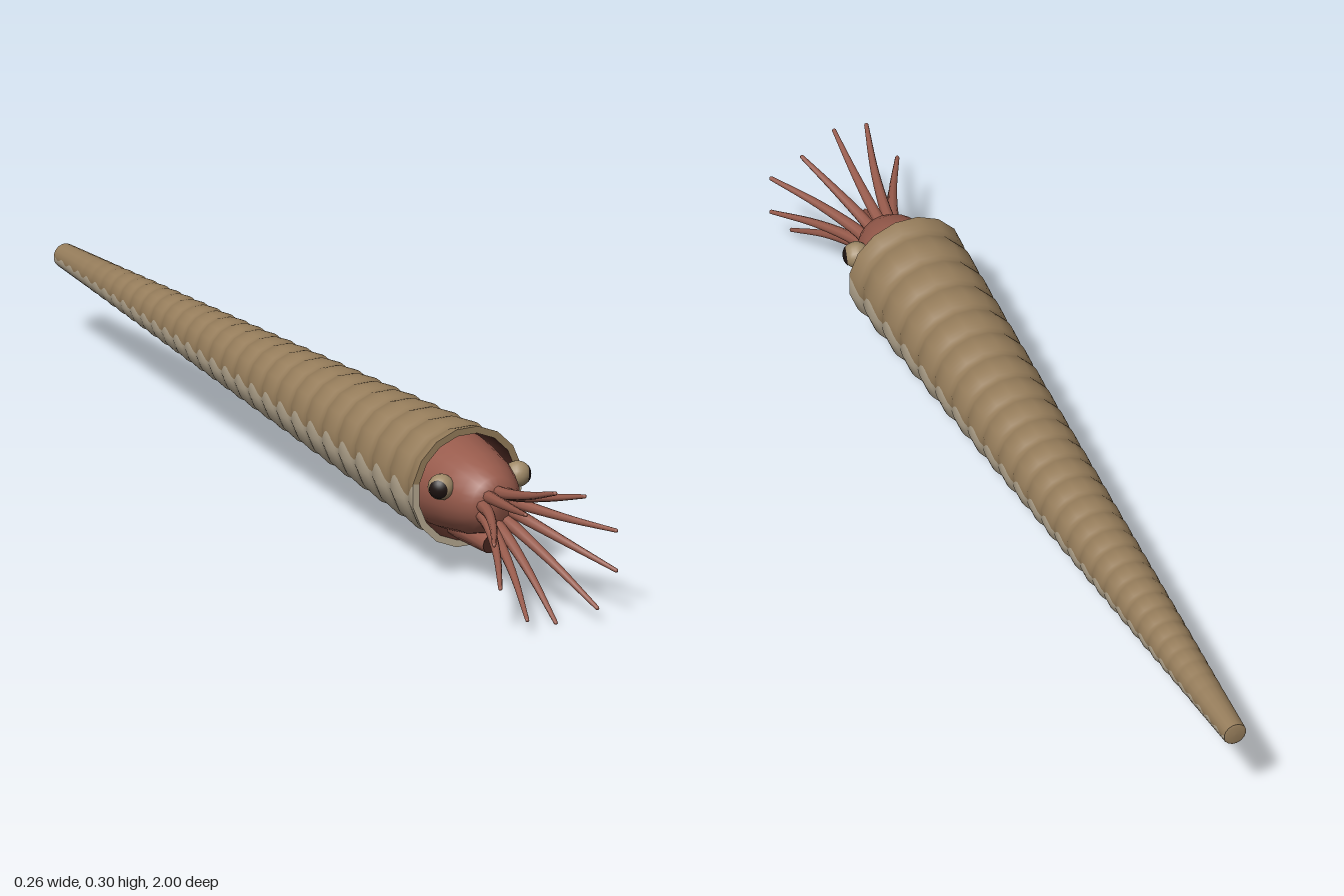
import * as THREE from 'three';

const AXIS_Y = 0.18, BACK = -1, FRONT = 0.615, STEP = Math.PI / 16;
const RIBS = 29;

const mat = (name, color, side = THREE.FrontSide) => {
  const m = new THREE.MeshStandardMaterial({ color, side });
  m.name = name;
  return m;
};

// Rib phase grows faster towards the narrow end, so ribs shrink with the cone
const ribPhase = (t) => RIBS * Math.log(1 + 1.43 * t) / Math.log(2.43);
const ribT = (phase) => (Math.exp(phase / RIBS * Math.log(2.43)) - 1) / 1.43;
function shellRadius(t) {
  const base = 0.024 + 0.094 * t;
  const fade = THREE.MathUtils.smoothstep(t, 0.02, 0.2);
  return base * (1 + 0.075 * fade * (Math.abs(Math.sin(Math.PI * (ribPhase(t) + 0.5))) - 0.6));
}

// One colour half of the ribbed cone; the seam ripples along the ribs
function shellHalf(upper) {
  const pos = [], nor = [], idx = [], rows = RIBS * 8, cols = 10;
  for (let i = 0; i <= rows; i++) {
    const t = ribT(i / 8), z = BACK + (FRONT - BACK) * t, r = shellRadius(t);
    const e = 0.002;
    const slope = (shellRadius(Math.min(1, t + e)) - shellRadius(Math.max(0, t - e))) / (2 * e * (FRONT - BACK));
    const seam = 0.02 + 0.14 * Math.cos(2 * Math.PI * i / 8);
    for (let j = 0; j < cols; j++) {
      let a = (2 * j - 1) * STEP, k = 1;
      if (j === 0 || j === cols - 1) {
        a = upper ? seam : -seam;
        k = Math.cos(STEP) / Math.cos(a);
        if (j) a = Math.PI - a;
      }
      if (!upper) a += Math.PI;
      const c = Math.cos(a), s = Math.sin(a), n = new THREE.Vector3(c, s, -slope).normalize();
      pos.push(r * k * c, AXIS_Y + r * k * s, z);
      nor.push(n.x, n.y, n.z);
      if (i < rows && j < cols - 1) {
        const p = i * cols + j, q = p + cols;
        idx.push(p, p + 1, q, p + 1, q + 1, q);
      }
    }
  }
  const g = new THREE.BufferGeometry();
  g.setAttribute('position', new THREE.Float32BufferAttribute(pos, 3));
  g.setAttribute('normal', new THREE.Float32BufferAttribute(nor, 3));
  g.setIndex(idx);
  return g;
}

// Surface of revolution around the body axis from [radius, z] pairs
function revolve(profile, sides) {
  const g = new THREE.LatheGeometry(profile.map(([r, z]) => new THREE.Vector2(r, z)), sides);
  return g.rotateX(Math.PI / 2).rotateZ(STEP).translate(0, AXIS_Y, 0);
}

// Tube thinning from r0 to r1
function taperedTube(curve, r0, r1) {
  const rows = 14, sides = 8;
  const g = new THREE.TubeGeometry(curve, rows, r0, sides);
  const p = g.attributes.position, n = g.attributes.normal;
  for (let i = 0; i < p.count; i++) {
    const d = (r1 - r0) * Math.floor(i / (sides + 1)) / rows;
    p.setXYZ(i, p.getX(i) + n.getX(i) * d, p.getY(i) + n.getY(i) * d, p.getZ(i) + n.getZ(i) * d);
  }
  return g;
}

export function createModel() {
  const model = new THREE.Group();
  model.name = 'straightShelledCephalopod';
  const tan = mat('shellTan', 0x967d5b);
  const pale = mat('shellPale', 0xb8aa92);
  const flesh = mat('flesh', 0x985b4c);
  const dark = mat('darkMantle', 0x47261f, THREE.DoubleSide);
  const eyeTan = mat('eyeTan', 0xa08a68);
  const pupilBlack = mat('pupil', 0x1c1210);
  const add = (name, geometry, material, parent = model) => {
    const m = new THREE.Mesh(geometry, material);
    m.name = name;
    parent.add(m);
    return m;
  };

  // Shell
  add('upperShell', shellHalf(true), tan);
  add('lowerShell', shellHalf(false), pale);
  add('shellTip', revolve([[0, -1], [0.018, -0.9995], [shellRadius(0), -0.996]], 16), tan);
  const rim = shellRadius(1);
  for (const [name, start, m] of [['upperLip', STEP, tan], ['lowerLip', Math.PI + STEP, pale]]) {
    const g = new THREE.RingGeometry(rim - 0.014, rim, name === 'upperLip' ? 7 : 9, 1,
      name === 'upperLip' ? start : Math.PI - STEP, name === 'upperLip' ? 14 * STEP : 18 * STEP);
    add(name, g.translate(0, AXIS_Y, FRONT), m);
  }
  add('shellInside', revolve([[rim - 0.014, FRONT], [0.1, 0.56], [0, 0.55]], 16), dark);

  // Head
  add('head', revolve([[0.098, 0.55], [0.095, 0.585], [0.088, 0.625], [0.081, 0.665],
    [0.067, 0.705], [0.052, 0.728], [0.035, 0.741], [0, 0.746]], 24), flesh);

  // Swimming funnel below the head
  const funnel = new THREE.Group();
  funnel.name = 'funnel';
  funnel.position.set(0, 0.095, 0.65);
  funnel.rotation.x = Math.PI / 2 + 0.05;
  model.add(funnel);
  add('funnelTube', new THREE.CylinderGeometry(0.02, 0.03, 0.13, 12, 1, true), flesh, funnel);
  add('funnelOpening', new THREE.CircleGeometry(0.02, 12).rotateX(-Math.PI / 2).translate(0, 0.06, 0), dark, funnel);

  // Eyes: a ball with a dark cap for the pupil
  for (const [name, side, gaze] of [['leftEye', 1, [0.95, -0.1, 0.3]], ['rightEye', -1, [-0.7, 0, 0.7]]]) {
    const eye = new THREE.Group();
    eye.name = name;
    eye.position.set(side * 0.084, 0.207, 0.663);
    eye.quaternion.setFromUnitVectors(new THREE.Vector3(0, 1, 0), new THREE.Vector3(...gaze).normalize());
    model.add(eye);
    add('eyeball', new THREE.SphereGeometry(0.026, 16, 12), eyeTan, eye);
    add('pupil', new THREE.SphereGeometry(0.0268, 16, 5, 0, Math.PI * 2, 0, 0.78), pupilBlack, eye);
  }

  // Ten arms in a ring, bending outwards
  const tipZ = [0.968, 0.945, 0.985, 0.985, 0.996, 0.97, 0.996, 0.975, 0.95, 0.99];
  tipZ.forEach((z, i) => {
    const a = Math.PI / 2 - i * Math.PI / 5, c = Math.cos(a), s = Math.sin(a);
    const at = (r, y, zz) => new THREE.Vector3(r * c, y + r * s, zz);
    const curve = new THREE.CatmullRomCurve3([
      at(0.03, 0.172, 0.715), at(0.042, 0.168, 0.77),
      at(0.08, 0.155, 0.745 + (z - 0.745) * 0.55), at(0.131, 0.138, z),
    ]);
    const arm = new THREE.Group();
    arm.name = 'arm' + (i + 1);
    model.add(arm);
    add('armTube', taperedTube(curve, 0.0135, 0.0042), flesh, arm);
    add('armTip', new THREE.SphereGeometry(0.0042, 8, 6), flesh, arm).position.copy(curve.getPoint(1));
  });

  return model;
}
